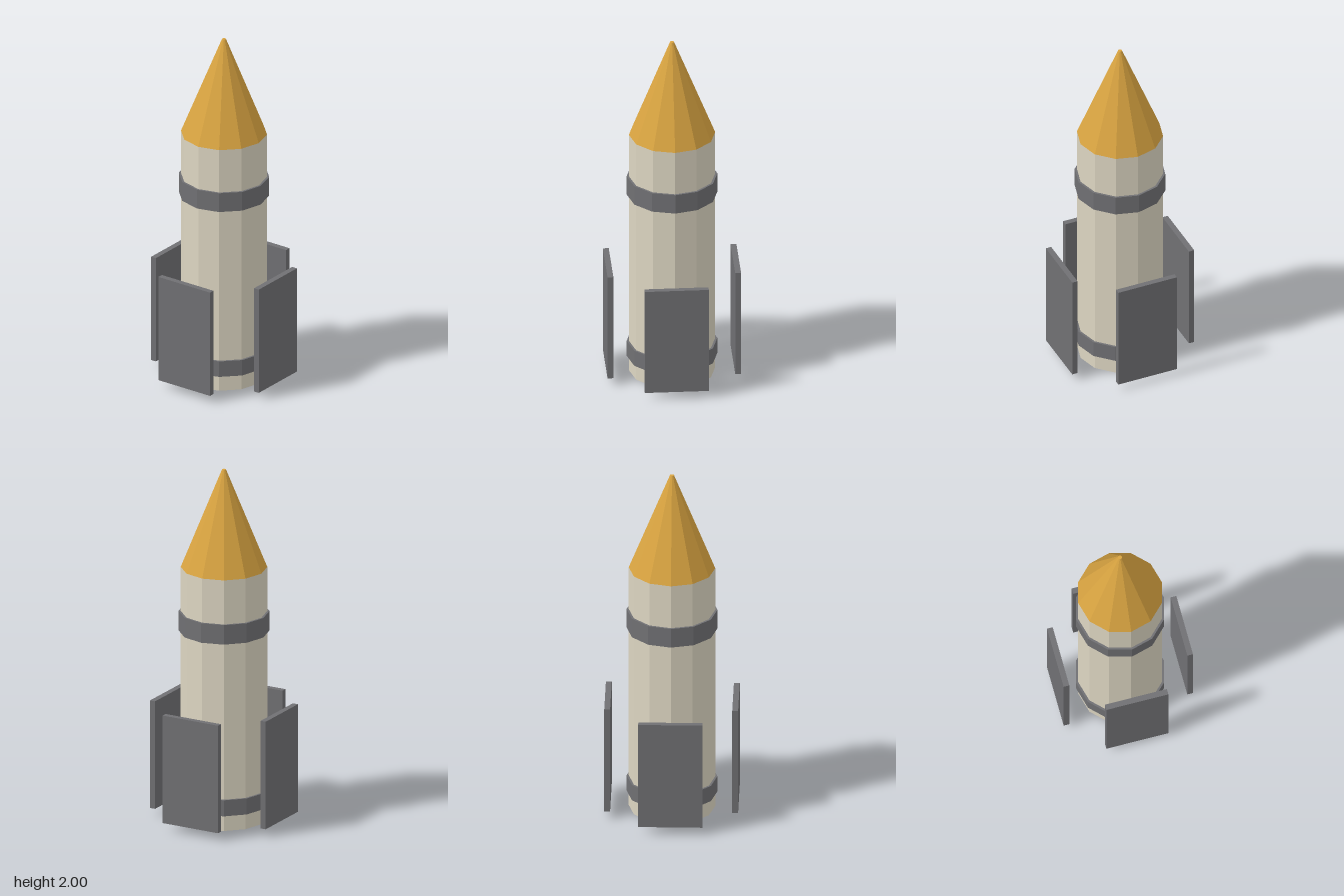
import * as THREE from 'three';

const paint = (name, color) => {
  const m = new THREE.MeshStandardMaterial({ color, flatShading: true });
  m.name = name;
  return m;
};

export function createModel() {
  const cream = paint('cream', 0xddd6c2);
  const ochre = paint('ochre', 0xd9a441);
  const grey = paint('grey', 0x707073);
  const rocket = new THREE.Group();
  rocket.name = 'rocket';

  const add = (name, geometry, material, x, y, z) => {
    const mesh = new THREE.Mesh(geometry, material);
    mesh.name = name;
    mesh.position.set(x, y, z);
    rocket.add(mesh);
    return mesh;
  };

  // Twelve-sided tapered section standing between two heights
  const section = (name, material, topRadius, bottomRadius, y0, y1) =>
    add(name, new THREE.CylinderGeometry(topRadius, bottomRadius, y1 - y0, 12),
      material, 0, (y0 + y1) / 2, 0);

  section('body', cream, 0.236, 0.236, 0, 1.44);
  section('noseCone', ochre, 0.011, 0.236, 1.44, 2);
  section('upperBand', grey, 0.248, 0.248, 1.075, 1.187);
  section('lowerBand', grey, 0.248, 0.248, 0.088, 0.18);

  // Four flat fin panels standing clear of the body
  const panel = new THREE.BoxGeometry(0.35, 0.618, 0.032);
  for (let i = 0; i < 4; i++) {
    const a = i * Math.PI / 2;
    const fin = add(`fin${i + 1}`, panel, grey, Math.sin(a) * 0.349, 0.352, Math.cos(a) * 0.349);
    fin.rotation.y = a;
  }
  return rocket;
}
